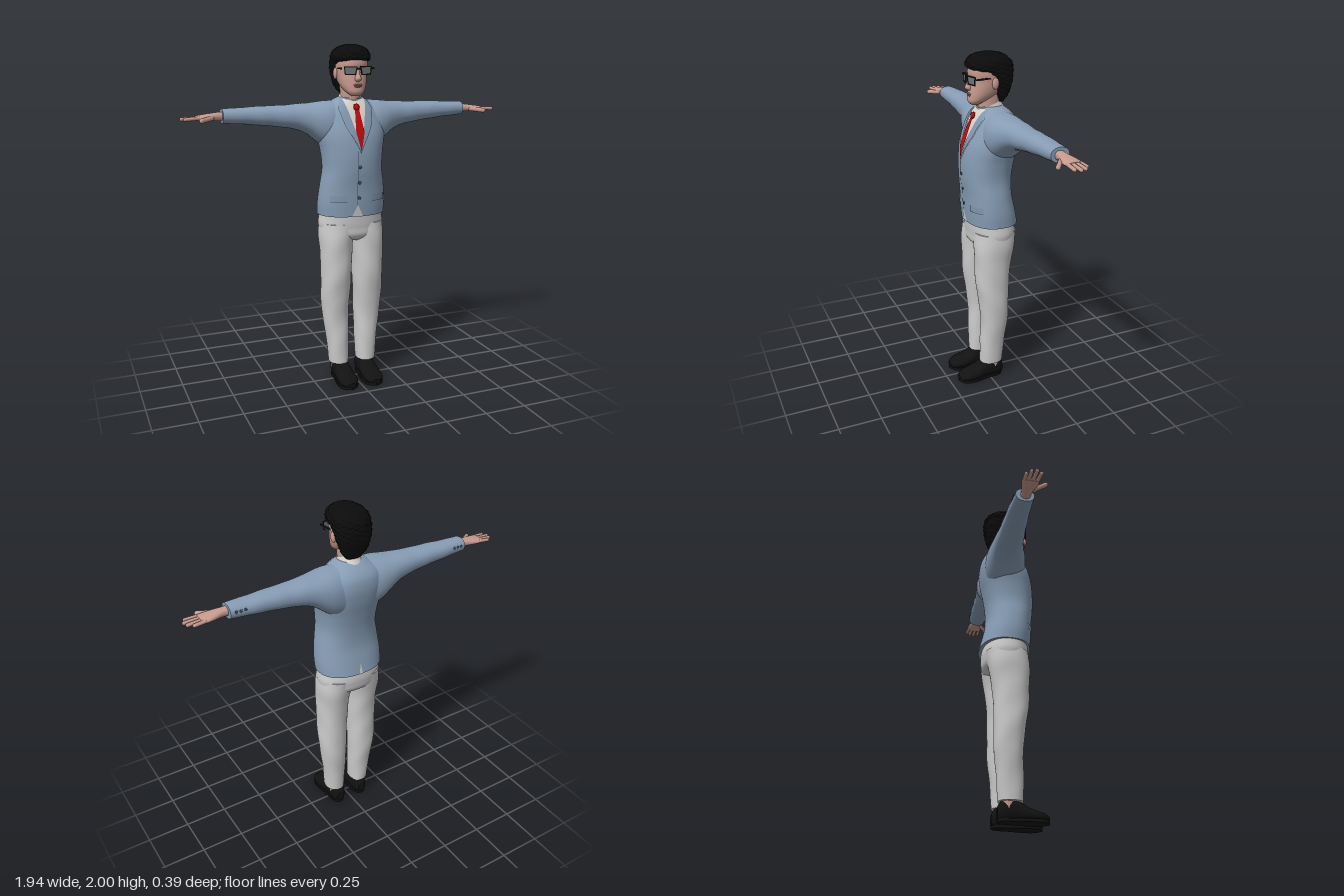
import * as THREE from 'three';

const mat = (color) => new THREE.MeshStandardMaterial({ color, roughness: 0.9, side: THREE.DoubleSide });
const M = {
  jacket: mat(0x879db5), lapel: mat(0x8197ae), seam: mat(0x3f4c5a), trousers: mat(0xcccccc), shirt: mat(0xd6d3cc),
  tie: mat(0xb80c0c), skin: mat(0xc79a8e), lips: mat(0xa87068), hair: mat(0x0b0b0b), shoe: mat(0x121212),
  frame: mat(0x181818), lens: mat(0x70787a),
};
const AXES = { x: ['x', 'y', 'z'], y: ['y', 'z', 'x'], z: ['z', 'x', 'y'] };

function add(parent, name, geo, material) {
  const mesh = new THREE.Mesh(geo, material);
  mesh.name = name;
  parent.add(mesh);
  return mesh;
}

// Smooth interpolation through rows [t, uMin, uMax, vMin, vMax]
function track(rows) {
  const f = new THREE.CubicInterpolant(rows.map((r) => r[0]), rows.flatMap((r) => r.slice(1)), 4);
  return (t) => Array.from(f.evaluate(t));
}
const sym = (rows) => rows.map(([t, a, b, w]) => [t, a, b, -w, w]);

// Closed loft of superellipse sections along an axis; bump scales the radius
function loft(axis, rows, { n = 2.2, seg = 36, steps = 30, bump = () => 1 } = {}) {
  const [T, U, V] = AXES[axis], at = track(rows);
  const t0 = rows[0][0], t1 = rows[rows.length - 1][0];
  const pos = [], idx = [], p = new THREE.Vector3();
  const ring = (t, k) => {
    const [a, b, c, d] = at(t);
    for (let j = 0; j < seg; j++) {
      const ang = (j / seg) * Math.PI * 2, cs = Math.cos(ang), sn = Math.sin(ang);
      const r = k * bump(ang, t);
      p[T] = t;
      p[U] = (a + b) / 2 + ((b - a) / 2) * r * Math.sign(cs) * Math.abs(cs) ** (2 / n);
      p[V] = (c + d) / 2 + ((d - c) / 2) * r * Math.sign(sn) * Math.abs(sn) ** (2 / n);
      pos.push(p.x, p.y, p.z);
    }
  };
  ring(t0, 0.001);
  ring(t0, 1);
  for (let i = 0; i <= steps; i++) ring(t0 + ((t1 - t0) * i) / steps, 1);
  ring(t1, 1);
  ring(t1, 0.001);
  for (let i = 0; i < steps + 4; i++) {
    if (i === 1 || i === steps + 2) continue; // sharp edge at the caps
    for (let j = 0; j < seg; j++) {
      const a = i * seg + j, b = i * seg + ((j + 1) % seg);
      idx.push(a, b, b + seg, a, b + seg, a + seg);
    }
  }
  const g = new THREE.BufferGeometry();
  g.setAttribute('position', new THREE.Float32BufferAttribute(pos, 3));
  g.setIndex(idx);
  g.computeVertexNormals();
  return g;
}

const TORSO = sym([
  [1.03, -0.185, 0.11, 0.198], [1.1, -0.17, 0.115, 0.2], [1.2, -0.15, 0.12, 0.19], [1.3, -0.15, 0.13, 0.175],
  [1.4, -0.165, 0.13, 0.182], [1.5, -0.185, 0.115, 0.2], [1.58, -0.19, 0.085, 0.198], [1.64, -0.175, 0.058, 0.17],
  [1.68, -0.14, 0.035, 0.115], [1.705, -0.105, 0.018, 0.068],
]);
const torsoAt = track(TORSO), TORSO_N = 2.3;
function torsoZ(x, y, side) {
  const [a, b, , w] = torsoAt(y);
  return (a + b) / 2 + side * ((b - a) / 2) * Math.max(0, 1 - Math.abs(x / w) ** TORSO_N) ** (1 / TORSO_N);
}

// Cloth patch lying on the torso between two x limits that depend on y
function panel(y0, y1, xl, xr, off, side = 1) {
  const g = new THREE.PlaneGeometry(1, 1, 8, 20), p = g.attributes.position;
  for (let i = 0; i < p.count; i++) {
    const y = y0 + (y1 - y0) * (p.getY(i) + 0.5);
    const x = THREE.MathUtils.lerp(xl(y), xr(y), p.getX(i) + 0.5);
    p.setXYZ(i, x, y, torsoZ(x, y, side) + side * off);
  }
  g.computeVertexNormals();
  return g;
}

// Tapered rounded finger from a to b
function finger(parent, name, a, b, r) {
  const A = new THREE.Vector3(...a), B = new THREE.Vector3(...b), d = B.clone().sub(A);
  const m = add(parent, name, new THREE.CapsuleGeometry(r, d.length() - 2 * r, 5, 10), M.skin);
  m.position.copy(A).lerp(B, 0.5);
  m.quaternion.setFromUnitVectors(new THREE.Vector3(0, 1, 0), d.normalize());
}

function ball(parent, name, x, y, z, sx, sy, sz, material) {
  const m = add(parent, name, new THREE.SphereGeometry(1, 16, 12), material);
  m.position.set(x, y, z);
  m.scale.set(sx, sy, sz);
}

function buildArm(g) {
  add(g, 'sleeve', loft('x', [
    [0.06, 1.38, 1.688, -0.17, 0.05], [0.15, 1.42, 1.685, -0.18, 0.06], [0.2, 1.455, 1.68, -0.175, 0.05],
    [0.25, 1.495, 1.675, -0.168, 0.03], [0.3, 1.52, 1.672, -0.16, 0.015], [0.4, 1.542, 1.666, -0.15, 0],
    [0.5, 1.555, 1.665, -0.145, -0.01], [0.62, 1.567, 1.66, -0.14, -0.02], [0.74, 1.576, 1.656, -0.13, -0.026],
  ], { steps: 44, bump: (a, t) => 1 + 0.012 * Math.sin(t * 48 + 2 * Math.sin(a)) * Math.min(1, t * 2) }), M.jacket);
  for (let i = 0; i < 3; i++) ball(g, 'cuffButton', 0.66 + i * 0.025, 1.625, -0.134, 0.008, 0.008, 0.005, M.seam);
  add(g, 'hand', loft('x', [
    [0.7, 1.588, 1.642, -0.105, -0.05], [0.77, 1.592, 1.638, -0.105, -0.046], [0.82, 1.594, 1.632, -0.118, -0.034],
    [0.86, 1.596, 1.626, -0.124, -0.03], [0.885, 1.6, 1.622, -0.118, -0.036],
  ], { seg: 24, steps: 14 }), M.skin);
  const tips = [[-0.112, 0.935, -0.116], [-0.09, 0.962, -0.094], [-0.067, 0.97, -0.066], [-0.044, 0.955, -0.038]];
  for (const [z, tx, tz] of tips) finger(g, 'finger', [0.86, 1.612, z], [tx, 1.607, tz], 0.0105);
  finger(g, 'thumb', [0.79, 1.61, -0.055], [0.875, 1.6, 0.01], 0.0135);
}

function buildLeg(g) {
  add(g, 'trouserLeg', loft('y', [
    [0.11, -0.085, 0.055, 0.03, 0.145], [0.25, -0.095, 0.055, 0.025, 0.157], [0.4, -0.11, 0.052, 0.022, 0.178],
    [0.52, -0.112, 0.065, 0.018, 0.188], [0.65, -0.115, 0.084, 0.012, 0.188], [0.8, -0.13, 0.09, 0.006, 0.19],
    [0.9, -0.15, 0.092, -0.005, 0.195], [0.98, -0.16, 0.088, -0.02, 0.188],
  ], { steps: 44, bump: (a, t) => 1 + 0.012 * Math.sin(t * 30 + 3 * a) }), M.trousers);
  const ankle = add(g, 'ankle', new THREE.CylinderGeometry(0.04, 0.04, 0.1, 20), M.skin);
  ankle.position.set(0.085, 0.11, -0.03);
  add(g, 'shoe', loft('z', [
    [-0.088, 0.055, 0.105, 0.01, 0.08], [-0.07, 0.042, 0.118, 0.005, 0.112], [-0.02, 0.036, 0.126, 0.005, 0.125],
    [0.03, 0.03, 0.13, 0.005, 0.115], [0.08, 0.024, 0.136, 0.005, 0.085], [0.13, 0.024, 0.137, 0.006, 0.067],
    [0.17, 0.032, 0.128, 0.01, 0.055], [0.195, 0.055, 0.105, 0.016, 0.038],
  ], { n: 2.5, seg: 28 }), M.shoe);
  // Sole outline, drawn with its y pointing backwards
  const outline = new THREE.Shape();
  outline.setFromPoints(new THREE.SplineCurve([[0.08, -0.2], [0.128, -0.17], [0.14, -0.11], [0.126, -0.02], [0.118, 0.06],
    [0.08, 0.09], [0.042, 0.06], [0.032, -0.02], [0.02, -0.11], [0.032, -0.17], [0.08, -0.2],
  ].map((q) => new THREE.Vector2(...q))).getPoints(40));
  add(g, 'sole', new THREE.ExtrudeGeometry(outline, { depth: 0.018, bevelEnabled: false }).rotateX(-Math.PI / 2), M.shoe);
}

function buildHalfFace(g) {
  ball(g, 'ear', 0.09, 1.838, -0.035, 0.012, 0.032, 0.02, M.skin);
  const box = (w, h) => [[-w, h], [w, h], [w * 0.85, -h], [-w * 0.75, -h]].map((q) => new THREE.Vector2(...q));
  const rim = new THREE.Shape(box(0.038, 0.024));
  rim.holes.push(new THREE.Path(box(0.033, 0.018)));
  const eye = new THREE.Group();
  eye.name = 'eyeglass';
  eye.position.set(0.045, 1.856, 0.086);
  eye.rotation.y = 0.22;
  add(eye, 'rim', new THREE.ExtrudeGeometry(rim, { depth: 0.007, bevelEnabled: false }), M.frame);
  add(eye, 'lens', new THREE.ExtrudeGeometry(new THREE.Shape(box(0.034, 0.019)), { depth: 0.004, bevelEnabled: false }), M.lens);
  g.add(eye);
  const temple = add(g, 'temple', new THREE.BoxGeometry(0.005, 0.009, 0.115), M.frame);
  temple.position.set(0.09, 1.868, 0.025);
  temple.rotation.y = 0.12;
}

function buildHead(g) {
  add(g, 'neck', loft('y', sym([[1.62, -0.11, 0.02, 0.06], [1.7, -0.1, 0.025, 0.056], [1.8, -0.1, 0.03, 0.06]])), M.skin);
  add(g, 'face', loft('y', sym([
    [1.715, 0.03, 0.072, 0.024], [1.73, 0.0, 0.086, 0.044], [1.76, -0.06, 0.088, 0.066], [1.8, -0.11, 0.085, 0.08],
    [1.85, -0.14, 0.08, 0.088], [1.9, -0.145, 0.086, 0.09], [1.95, -0.12, 0.065, 0.075], [1.97, -0.08, 0.03, 0.05],
  ])), M.skin);
  add(g, 'nose', loft('y', sym([[1.795, 0.06, 0.09, 0.013], [1.808, 0.06, 0.108, 0.019], [1.83, 0.06, 0.1, 0.013],
    [1.87, 0.06, 0.088, 0.009]]), { seg: 16, steps: 10 }), M.skin);
  ball(g, 'upperLip', 0, 1.778, 0.085, 0.028, 0.005, 0.008, M.lips);
  ball(g, 'lowerLip', 0, 1.769, 0.084, 0.023, 0.006, 0.009, M.lips);
  ball(g, 'bridge', 0, 1.866, 0.094, 0.014, 0.004, 0.004, M.frame);
  // Curly hair, open over the face
  add(g, 'hair', loft('y', sym([
    [1.725, -0.115, -0.07, 0.045], [1.76, -0.135, -0.055, 0.072], [1.81, -0.155, -0.03, 0.09], [1.86, -0.165, -0.005, 0.1],
    [1.895, -0.168, 0.03, 0.104], [1.915, -0.168, 0.088, 0.106], [1.945, -0.16, 0.094, 0.104], [1.975, -0.13, 0.075, 0.083],
    [1.99, -0.1, 0.045, 0.058], [2.0, -0.05, 0.0, 0.02],
  ]), { n: 2.3, seg: 72, steps: 60, bump: (a, t) => 1 + 0.022 * Math.sin(13 * a + 5 * Math.sin(t * 90)) + 0.022 * Math.sin(t * 210 + 7 * a) }), M.hair);
}

function buildTorso(g) {
  add(g, 'jacketBody', loft('y', TORSO, { n: TORSO_N, seg: 56, steps: 48 }), M.jacket);
  add(g, 'trouserSeat', loft('y', sym([[0.875, -0.11, 0.05, 0.1], [0.9, -0.15, 0.083, 0.165], [0.96, -0.17, 0.094, 0.194],
    [1.02, -0.168, 0.098, 0.19], [1.08, -0.15, 0.1, 0.18]])), M.trousers);
  // Shirt, tie and collar
  const vee = (y) => 0.068 * Math.max(0, (y - 1.42) / 0.28);
  add(g, 'shirtFront', panel(1.42, 1.695, (y) => -vee(y), vee, 0.004), M.shirt);
  const tieW = (y) => (y > 1.635 ? 0.016 : y > 1.52 ? 0.013 + (1.635 - y) * 0.11 : 0.0257 * Math.max(0, (y - 1.41) / 0.11));
  add(g, 'tie', panel(1.41, 1.67, (y) => -tieW(y), tieW, 0.011), M.tie);
  ball(g, 'tieKnot', 0, 1.652, 0.062, 0.017, 0.02, 0.012, M.tie);
  const collar = add(g, 'shirtCollar', new THREE.CylinderGeometry(0.061, 0.073, 0.05, 36, 1, true), M.shirt);
  collar.position.set(0, 1.693, -0.038);
  collar.rotation.x = 0.3;
  collar.scale.z = 1.12;
  // Lapels, pocket flaps, front closure and back vent
  const outer = (y) => vee(y) + 0.045 * Math.min(1, (y - 1.4) / 0.15) * Math.min(1, (1.71 - y) / 0.06);
  for (const s of [1, -1]) {
    const side = s > 0 ? 'left' : 'right';
    add(g, side + 'Lapel', panel(1.4, 1.695, (y) => s * vee(y), (y) => s * outer(y), 0.008), M.lapel);
    add(g, side + 'LapelEdge', panel(1.4, 1.66, (y) => s * outer(y), (y) => s * (outer(y) + 0.003), 0.004), M.seam);
    add(g, side + 'PocketFlap', panel(1.12, 1.155, () => s * 0.075, () => s * 0.165, 0.005), M.lapel);
    add(g, side + 'PocketEdge', panel(1.117, 1.12, () => s * 0.075, () => s * 0.165, 0.005), M.seam);
  }
  add(g, 'frontClosure', panel(1.1, 1.41, () => -0.018, () => -0.015, 0.003), M.seam);
  const notch = (y) => 0.035 * Math.max(0, (1.1 - y) / 0.07);
  add(g, 'frontOpening', panel(1.03, 1.1, (y) => -0.012 - notch(y), (y) => -0.012 + notch(y), 0.002), M.trousers);
  add(g, 'backVent', panel(1.03, 1.09, (y) => -notch(y) * 0.3, (y) => notch(y) * 0.3, 0.002, -1), M.trousers);
  for (const y of [1.14, 1.23, 1.32]) ball(g, 'jacketButton', -0.005, y, torsoZ(0, y, 1) + 0.002, 0.009, 0.009, 0.005, M.seam);
}

export function createModel() {
  const model = new THREE.Group();
  model.name = 'man';
  const part = (name, build, flip = 1) => {
    const g = new THREE.Group();
    g.name = name;
    build(g);
    g.scale.x = flip;
    model.add(g);
  };
  part('torso', buildTorso);
  part('head', buildHead);
  for (const [side, flip] of [['left', 1], ['right', -1]]) {
    part(side + 'Arm', buildArm, flip);
    part(side + 'Leg', buildLeg, flip);
    part(side + 'Face', buildHalfFace, flip);
  }
  return model;
}
